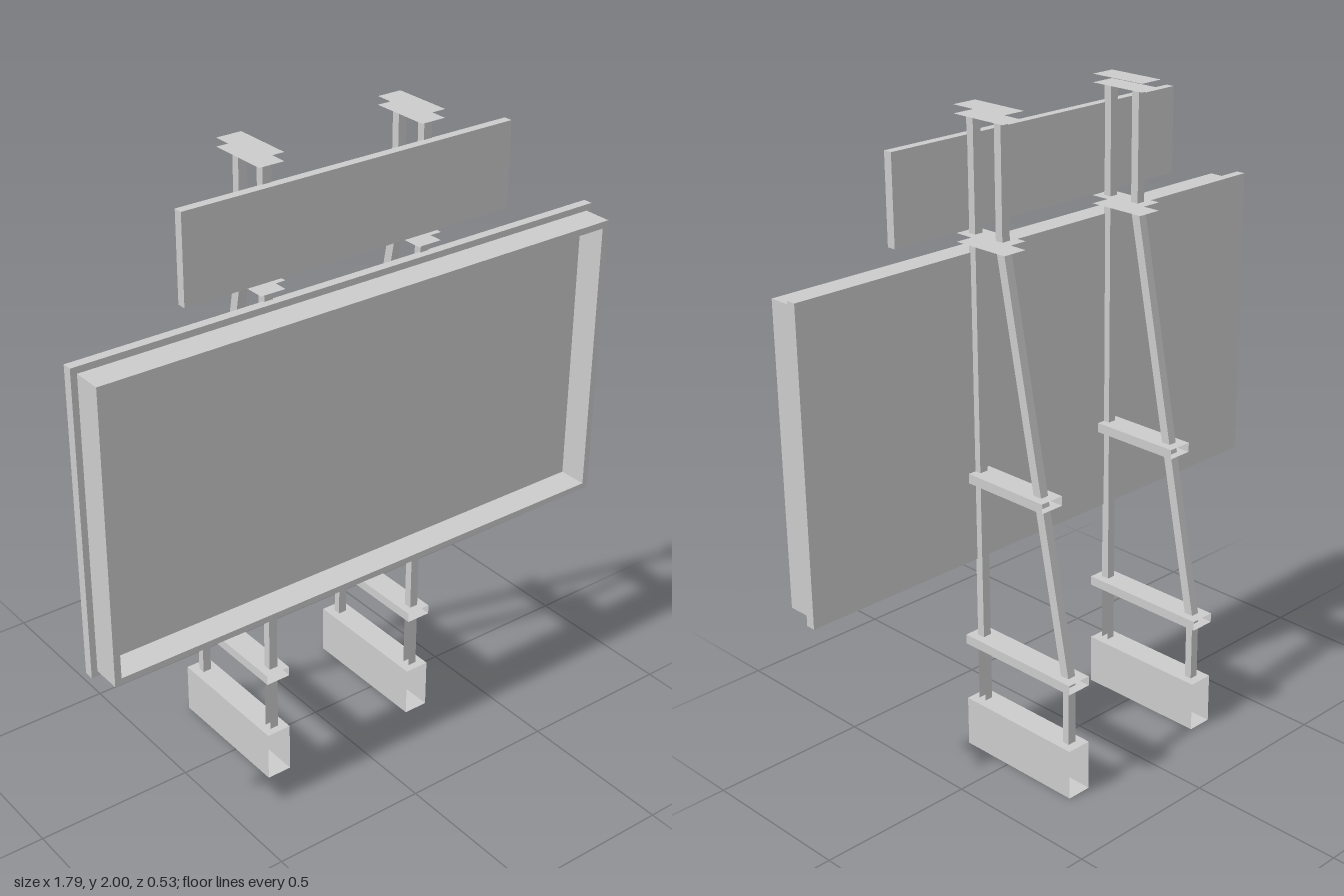
import * as THREE from 'three';

const material = new THREE.MeshStandardMaterial({ color: 0xcccccc, flatShading: true });
const thin = new THREE.MeshStandardMaterial({ color: 0xcccccc, flatShading: true, side: THREE.DoubleSide });

// Box given by its extents
function block(name, x0, x1, y0, y1, z0, z1) {
  const mesh = new THREE.Mesh(new THREE.BoxGeometry(x1 - x0, y1 - y0, z1 - z0), material);
  mesh.position.set((x0 + x1) / 2, (y0 + y1) / 2, (z0 + z1) / 2);
  mesh.name = name;
  return mesh;
}

// Thin sheet lying flat (horizontal)
function plate(name, w, y, z0, z1) {
  const mesh = new THREE.Mesh(new THREE.PlaneGeometry(w, z1 - z0).rotateX(-Math.PI / 2), thin);
  mesh.position.set(0, y, (z0 + z1) / 2);
  mesh.name = name;
  return mesh;
}

// Thin-walled rectangular sleeve along z, open at both ends
function sleeve(name, w, y0, y1, z0, z1) {
  const group = new THREE.Group();
  group.name = name;
  group.add(plate(name + 'Top', w, y1, z0, z1), plate(name + 'Bottom', w, y0, z0, z1));
  for (const s of [-1, 1]) {
    const side = new THREE.Mesh(new THREE.PlaneGeometry(z1 - z0, y1 - y0).rotateY(s * Math.PI / 2), thin);
    side.position.set(s * w / 2, (y0 + y1) / 2, (z0 + z1) / 2);
    side.name = name + 'Side';
    group.add(side);
  }
  return group;
}

// One support: front post, leaning rear post, cross sleeves and base
function createSupport(x) {
  const support = new THREE.Group();
  support.name = 'support';
  const h = 0.014, width = 0.08;

  support.add(block('frontPost', -h, h, 0.38, 1.615, 0.124, 0.15));
  support.add(block('upperFrontPost', -h, h, 1.64, 1.975, 0.124, 0.15));
  support.add(block('upperRearPost', -h, h, 1.64, 1.975, 0.015, 0.041));
  support.add(block('rearFoot', -h, h, 0.16, 0.38, -0.235, -0.211));

  // Rear post sheared so that its ends stay level
  const rear = new THREE.BoxGeometry(2 * h, 1.235, 0.03);
  const p = rear.attributes.position;
  for (let i = 0; i < p.count; i++) p.setZ(i, p.getZ(i) + (p.getY(i) / 1.235) * 0.244);
  rear.computeVertexNormals();
  const rearPost = new THREE.Mesh(rear, material);
  rearPost.position.set(0, 0.9975, -0.097);
  rearPost.name = 'rearPost';
  support.add(rearPost);

  // Front foot made of two sheets
  for (const z of [0.124, 0.15]) {
    const sheet = new THREE.Mesh(new THREE.PlaneGeometry(2 * h, 0.19), thin);
    sheet.position.set(0, 0.255, z);
    sheet.name = 'frontFoot';
    support.add(sheet);
  }

  support.add(sleeve('lowerBrace', width, 0.35, 0.38, -0.264, 0.174));
  support.add(sleeve('middleBrace', width, 0.89, 0.92, -0.157, 0.148));
  support.add(sleeve('base', width, 0, 0.16, -0.264, 0.174));
  for (const y of [1.615, 1.64, 1.975, 2]) support.add(plate('joiningPlate', width, y, -0.02, 0.172));

  support.position.x = x;
  return support;
}

export function createModel() {
  const model = new THREE.Group();
  model.name = 'billboard';

  model.add(block('mainPanel', -0.896, 0.896, 0.636, 1.584, 0.145, 0.175));
  model.add(block('upperSign', -0.553, 0.553, 1.652, 1.917, 0.148, 0.176));

  // Deep frame around the main panel
  const rect = (T, x, y0, y1) => new T([[-x, y0], [x, y0], [x, y1], [-x, y1]].map(([a, b]) => new THREE.Vector2(a, b)));
  const outline = rect(THREE.Shape, 0.877, 0.652, 1.564);
  outline.holes.push(rect(THREE.Path, 0.856, 0.672, 1.543));
  const frame = new THREE.Mesh(new THREE.ExtrudeGeometry(outline, { depth: 0.092, bevelEnabled: false }), material);
  frame.position.z = 0.175;
  frame.name = 'frame';
  model.add(frame);

  for (const s of [-1, 1]) model.add(createSupport(s * 0.27));
  return model;
}
